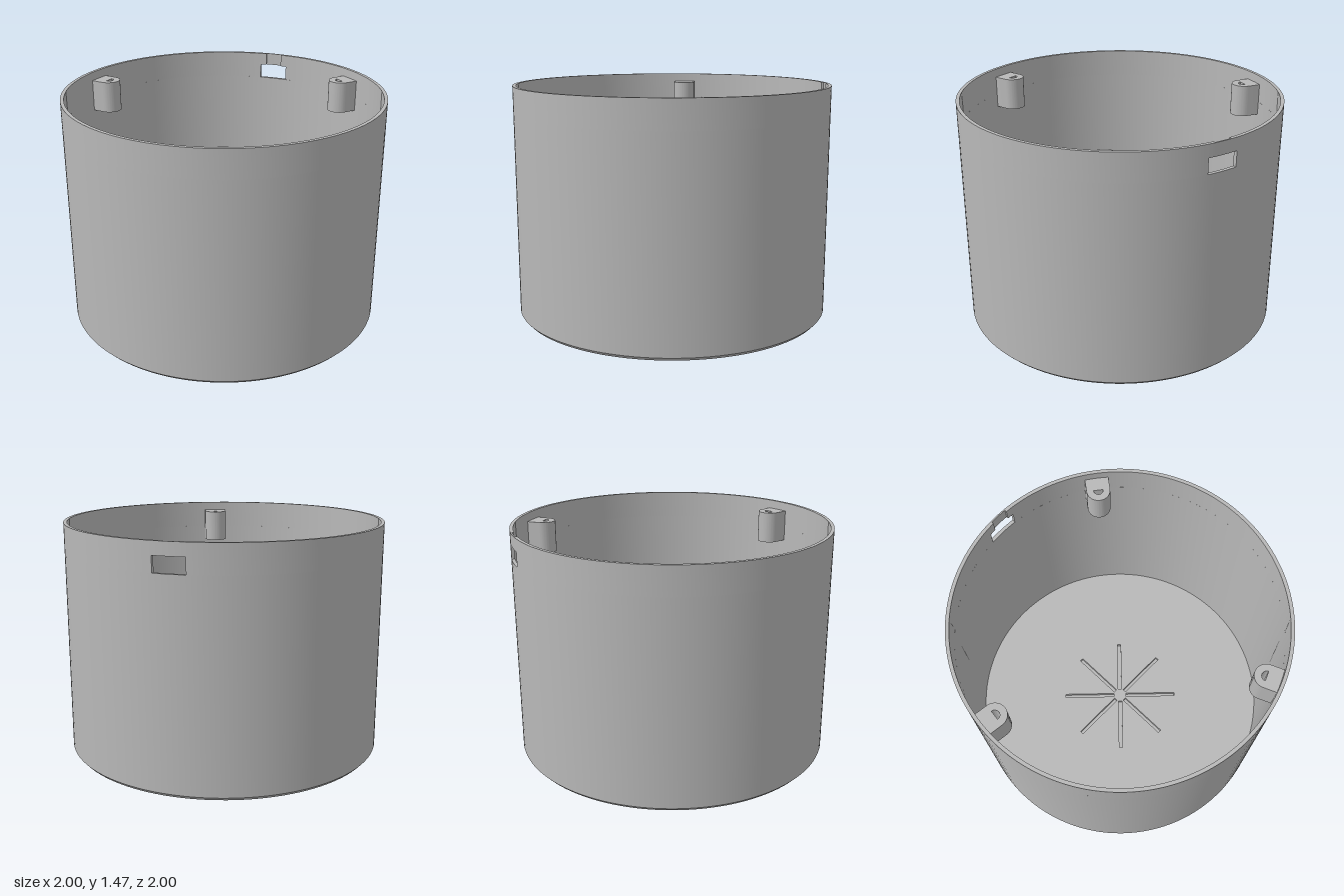
import * as THREE from 'three';
import { toCreasedNormals } from 'three/addons/utils/BufferGeometryUtils.js';

const SEG = 128, R_OUT = 1, R_IN = 0.978;
const FLOOR = 0.045, SILL = 1.29, LINTEL = 1.385, TOP = 1.465;
const rad = THREE.MathUtils.degToRad;

export function createModel() {
  const group = new THREE.Group();
  const grey = new THREE.MeshStandardMaterial({ color: 0xb8b8b8 });
  grey.name = 'plain grey';

  const add = (name, geometry) => {
    const mesh = new THREE.Mesh(toCreasedNormals(geometry, 0.4), grey);
    mesh.name = name;
    group.add(mesh);
    return mesh;
  };

  // Extrude a plan shape upwards from y0 to y1 (plan angle 90 degrees is the back)
  const slab = (shape, y0, y1, curveSegments) =>
    new THREE.ExtrudeGeometry(shape, { depth: y1 - y0, bevelEnabled: false, curveSegments })
      .rotateX(-Math.PI / 2).translate(0, y0, 0);

  // Curved piece of wall between two plan angles
  const wallPiece = (name, rIn, a0, a1, y0, y1) => {
    const s = new THREE.Shape();
    s.absarc(0, 0, R_OUT, rad(a0), rad(a1), false);
    s.absarc(0, 0, rIn, rad(a1), rad(a0), true);
    add(name, slab(s, y0, y1, Math.max(4, Math.ceil(SEG * (a1 - a0) / 360))));
  };

  // Lower cup with a chamfered foot
  const profile = [
    [0, 0], [0.98, 0], [R_OUT, 0.022], [R_OUT, SILL], [R_IN, SILL], [R_IN, 0.02], [0, 0.02],
  ].map(([x, y]) => new THREE.Vector2(x, y));
  add('cup', new THREE.LatheGeometry(profile, SEG));

  // Floor with eight radial grooves
  const floor = new THREE.Shape();
  floor.absarc(0, 0, R_IN + 0.005, 0, Math.PI * 2, false);
  for (let i = 0; i < 8; i++) {
    const a = rad(22.5 + i * 45);
    const corners = [[0.045, -0.012], [0.395, -0.012], [0.395, 0.012], [0.045, 0.012]];
    floor.holes.push(new THREE.Path(corners.map(([r, w]) =>
      new THREE.Vector2(r * Math.cos(a) - w * Math.sin(a), r * Math.sin(a) + w * Math.cos(a)))));
  }
  add('groovedFloor', slab(floor, 0.02, FLOOR, SEG));

  // Upper wall, leaving a window at the back
  const mid = 68.9, windowHalf = 5.55, notchHalf = 3.2;
  wallPiece('upperWall', R_IN, mid + windowHalf, mid - windowHalf + 360, SILL, TOP);

  // Lintel over the window, thinned by an inside notch
  wallPiece('lintelEnd', R_IN, mid - windowHalf, mid - notchHalf, LINTEL, TOP);
  wallPiece('lintelEnd', R_IN, mid + notchHalf, mid + windowHalf, LINTEL, TOP);
  wallPiece('lintelNotch', 0.991, mid - notchHalf, mid + notchHalf, LINTEL, TOP);

  // Three screw bosses with D-shaped holes
  const boss = new THREE.Shape();
  boss.moveTo(0.982, -0.073);
  boss.lineTo(0.982, 0.073);
  boss.lineTo(0.893, 0.073);
  boss.absarc(0.893, 0, 0.073, Math.PI / 2, Math.PI * 1.5, false);
  const hole = new THREE.Path();
  hole.absarc(0.893, 0, 0.03, Math.PI / 2, Math.PI * 1.5, false);
  boss.holes.push(hole);
  for (const angle of [30, 150, 270]) {
    add('screwBoss', slab(boss, 1.205, 1.41, 20)).rotation.y = rad(angle);
  }

  return group;
}
